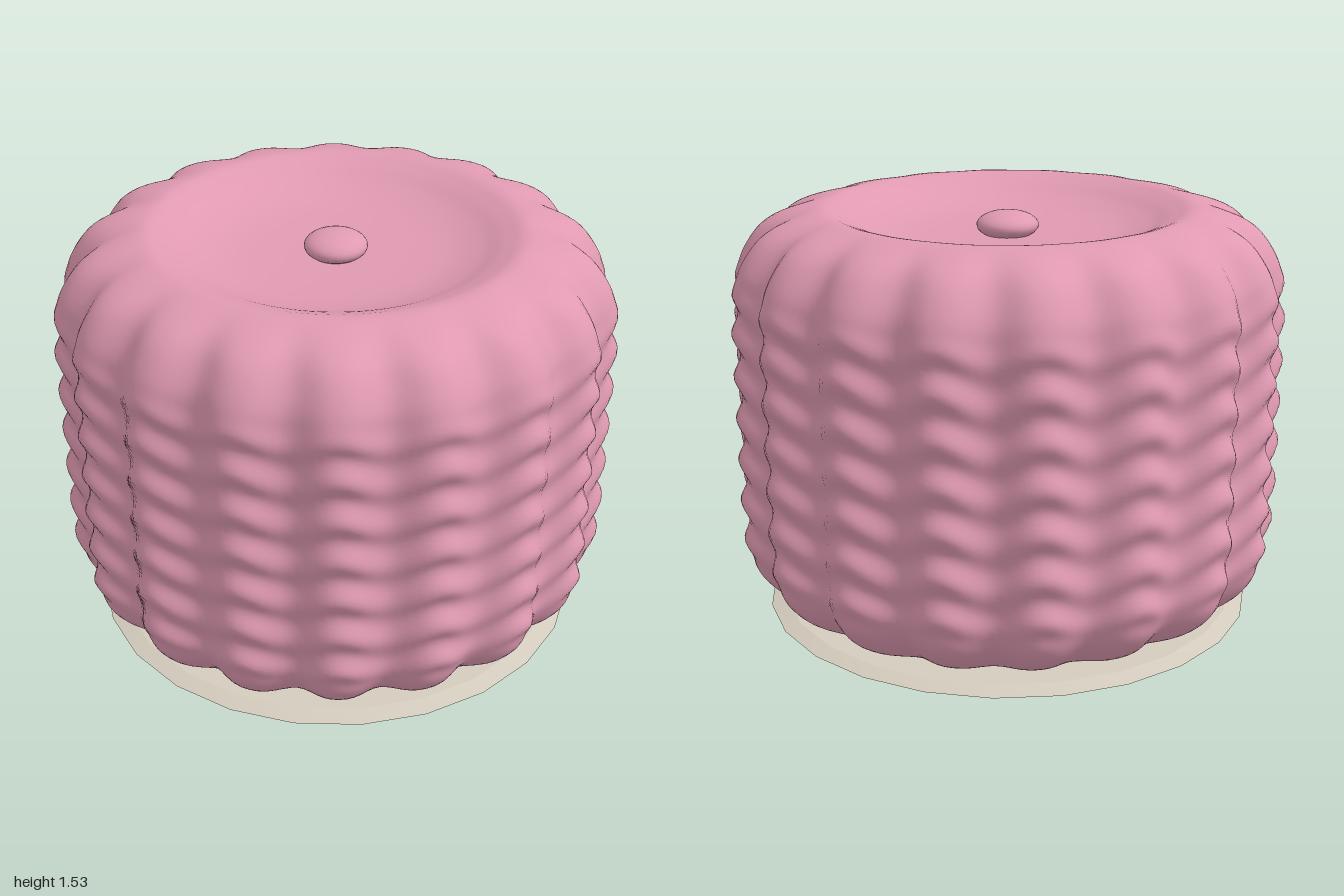
import * as THREE from 'three';
import { mergeVertices, toCreasedNormals } from 'three/addons/utils/BufferGeometryUtils.js';

const LOBES = 18;      // vertical braids around the pouf
const ROW = 0.155;     // height of one stitch row

const v2 = (pts) => pts.map(([x, y]) => new THREE.Vector2(x, y));

// Knitted cushion: a turned profile with braided lobes pushed into its side
function cushionGeometry() {
  const profile = new THREE.SplineCurve(v2([
    [0.55, 0.05], [0.72, 0.065], [0.86, 0.13], [0.95, 0.23], [0.985, 0.36],
    [0.99, 0.6], [0.99, 0.82], [0.99, 1.05], [0.985, 1.27], [0.93, 1.4],
    [0.84, 1.48], [0.68, 1.525], [0.59, 1.505], [0.5, 1.465], [0.38, 1.435],
    [0.2, 1.423], [0, 1.42],
  ]));
  const geo = new THREE.LatheGeometry(profile.getSpacedPoints(150), 216);
  geo.deleteAttribute('uv');
  geo.deleteAttribute('normal');
  const p = geo.attributes.position;
  const step = THREE.MathUtils.smoothstep;
  for (let i = 0; i < p.count; i++) {
    const x = p.getX(i), y = p.getY(i), z = p.getZ(i);
    const r = Math.hypot(x, z);
    if (r < 0.6) continue;
    const lobe = 0.5 - 0.5 * Math.cos(LOBES * Math.atan2(x, z));
    const side = step(r, 0.6, 0.93);
    const rows = step(y, 0.22, 0.36) * (1 - step(y, 1.2, 1.34)) * side;
    // stitches sag towards each groove, making chevrons
    const wave = Math.cos((2 * Math.PI * (y - 0.35 + 0.07 * (1 - lobe))) / ROW);
    const d = -0.055 * side * Math.pow(1 - lobe, 1.3)
      + 0.014 * rows * (wave - 0.3) * (0.45 + 0.55 * lobe);
    p.setXYZ(i, x * (1 + d / r), y, z * (1 + d / r));
  }
  const smooth = mergeVertices(geo, 1e-4);
  smooth.computeVertexNormals();
  return smooth;
}

export function createModel() {
  const pink = new THREE.MeshStandardMaterial({ color: 0xe09ab2 });
  pink.name = 'pink wool';
  const beige = new THREE.MeshStandardMaterial({ color: 0xd3cbbd });
  beige.name = 'beige base';

  const group = new THREE.Group();
  group.name = 'knitted pouf';
  const add = (name, geo, mat) => {
    const mesh = new THREE.Mesh(geo, mat);
    mesh.name = name;
    group.add(mesh);
    return mesh;
  };

  add('cushion', cushionGeometry(), pink);

  // Flattened button in the middle of the dished top
  const button = add('button', new THREE.SphereGeometry(0.112, 24, 14), pink);
  button.scale.y = 0.45;
  button.position.y = 1.453;

  // Thin bevelled base plate
  const plate = new THREE.LatheGeometry(v2([
    [0, 0], [0.55, 0.004], [0.82, 0.014], [0.83, 0.024], [0.9, 0.045], [0.84, 0.064], [0, 0.064],
  ]), 24);
  add('base', toCreasedNormals(plate, 0.3), beige);

  return group;
}
